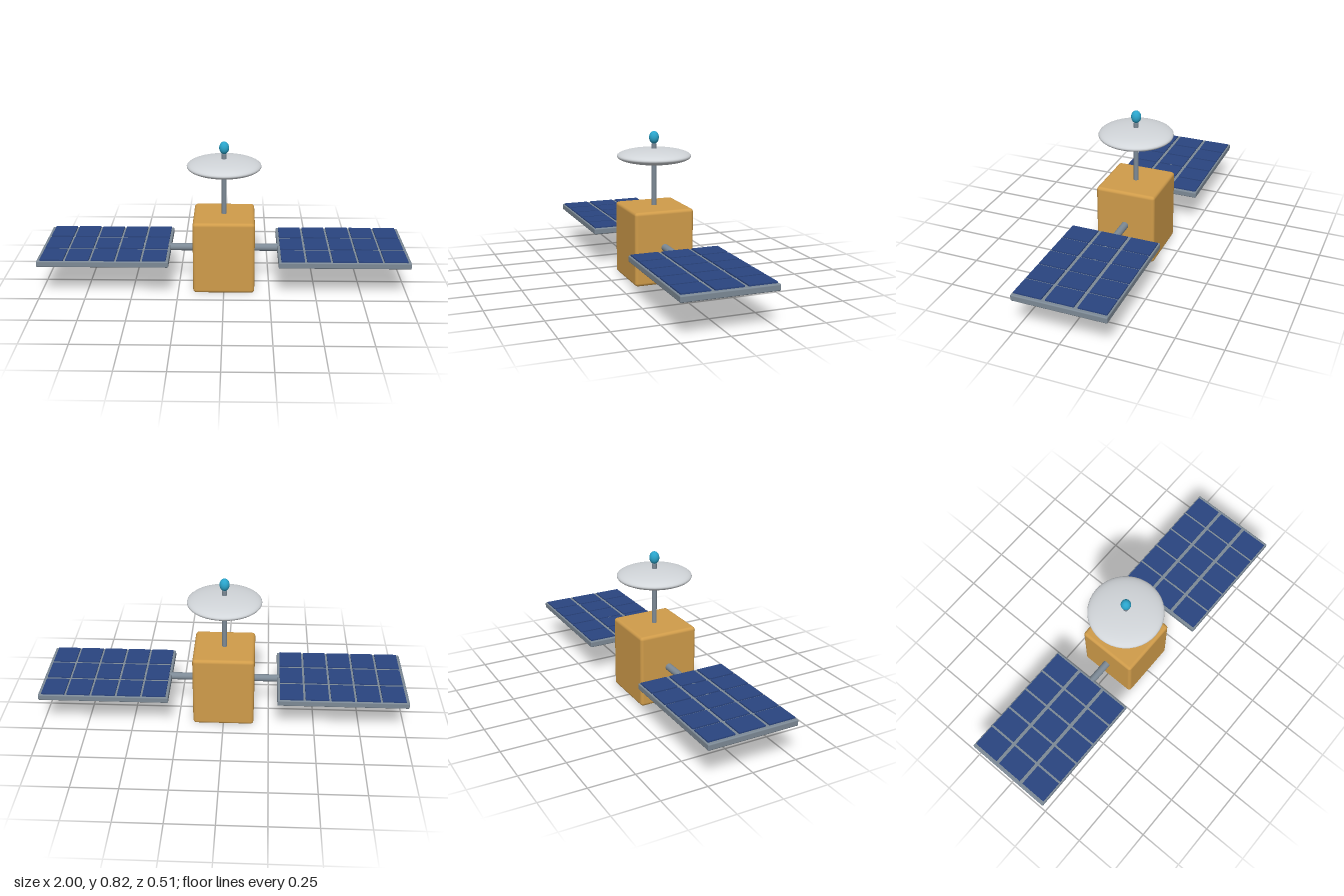
import * as THREE from 'three';
import { RoundedBoxGeometry } from 'three/addons/geometries/RoundedBoxGeometry.js';

const material = (name, color) => {
  const m = new THREE.MeshStandardMaterial({ color });
  m.name = name;
  return m;
};

export function createModel() {
  const gold = material('gold foil', 0xd09c4a);
  const steel = material('steel grey', 0x7d8a96);
  const white = material('dish white', 0xd2d6da);
  const navy = material('solar blue', 0x2a4580);
  const cyan = material('beacon cyan', 0x2aa5cc);

  const model = new THREE.Group();
  model.name = 'satellite';
  const add = (name, geometry, mat, x, y, z, parent = model) => {
    const mesh = new THREE.Mesh(geometry, mat);
    mesh.name = name;
    mesh.position.set(x, y, z);
    parent.add(mesh);
    return mesh;
  };

  // Central body
  add('body', new RoundedBoxGeometry(0.335, 0.407, 0.335, 2, 0.018), gold, 0, 0.2035, 0);

  // Mast with dish and beacon
  add('mast', new THREE.CylinderGeometry(0.0135, 0.0135, 0.367, 20), steel, 0, 0.5635, 0);
  add('dish', new THREE.SphereGeometry(0.202, 40, 20).scale(1, 0.2, 1), white, 0, 0.68, 0);
  add('beacon', new THREE.SphereGeometry(0.027, 24, 16).scale(1, 1.27, 1), cyan, 0, 0.781, 0);

  // Solar wings, one on each side
  const frame = new RoundedBoxGeometry(0.706, 0.034, 0.506, 2, 0.006);
  const cell = new THREE.BoxGeometry(0.125, 0.009, 0.15);
  const arm = new THREE.CylinderGeometry(0.02, 0.02, 0.54, 20).rotateZ(Math.PI / 2);
  for (const side of [1, -1]) {
    const wing = new THREE.Group();
    wing.name = side > 0 ? 'leftWing' : 'rightWing';
    model.add(wing);
    add('arm', arm, steel, side * 0.41, 0.206, 0, wing);
    add('panelFrame', frame, steel, side * 0.647, 0.205, 0, wing);
    // Solar cells, five by three
    for (let i = -2; i <= 2; i++) {
      for (let j = -1; j <= 1; j++) {
        add('solarCell', cell, navy, side * (0.645 + i * 0.137), 0.2245, j * 0.17, wing);
      }
    }
  }
  return model;
}
